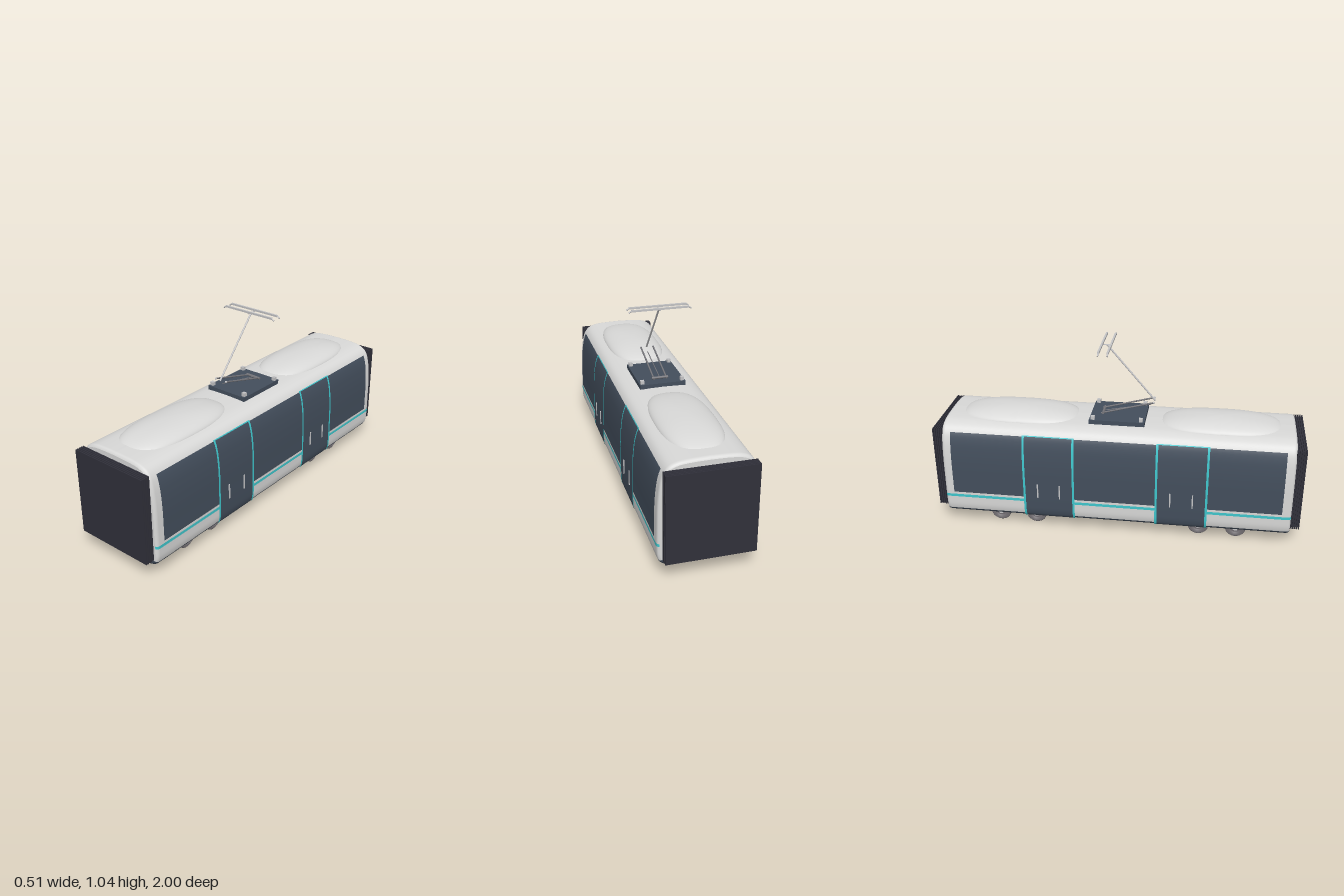
import * as THREE from 'three';

const mat = (name, color) => Object.assign(new THREE.MeshStandardMaterial({ color }), { name });

// Half cross-section of the car body, from bottom centre round the side to roof centre
const profile = new THREE.CatmullRomCurve3([
  [0, 0.063], [0.1, 0.064], [0.17, 0.066], [0.21, 0.074], [0.237, 0.092], [0.247, 0.12],
  [0.25, 0.17], [0.25, 0.28], [0.249, 0.37], [0.244, 0.45], [0.234, 0.52], [0.219, 0.565],
  [0.195, 0.594], [0.155, 0.611], [0.1, 0.618], [0, 0.621],
].map(([x, y]) => new THREE.Vector3(x, y, 0)), false, 'centripetal').getPoints(90);

// Part of the profile between two heights, with outward normals
function section(y0, y1) {
  const pts = [];
  profile.forEach((p, i) => {
    const q = profile[i - 1];
    for (const y of [y0, y1])
      if (q && q.y < y && p.y > y) pts.push(q.clone().lerp(p, (y - q.y) / (p.y - q.y)));
    if (p.y >= y0 && p.y <= y1) pts.push(p);
  });
  return pts.map((p, i) => {
    const a = pts[Math.max(i - 1, 0)], b = pts[Math.min(i + 1, pts.length - 1)];
    const n = new THREE.Vector2(b.y - a.y, a.x - b.x).normalize();
    return { p, n };
  });
}

// Skin along z over part of the profile; rings are [z, outward offset]
function skin(y0, y1, rings, side) {
  const sec = section(y0, y1), pos = [], idx = [], m = rings.length;
  for (const { p, n } of sec)
    for (const [z, off] of rings) pos.push(side * (p.x + n.x * off), p.y + n.y * off, z);
  for (let i = 0; i < sec.length - 1; i++)
    for (let j = 0; j < m - 1; j++) {
      const a = i * m + j, b = a + m, c = b + 1, d = a + 1;
      if (side > 0) idx.push(a, b, c, a, c, d);
      else idx.push(a, c, b, a, d, c);
    }
  const g = new THREE.BufferGeometry();
  g.setAttribute('position', new THREE.Float32BufferAttribute(pos, 3));
  g.setIndex(idx);
  g.computeVertexNormals();
  return g;
}

// Rings for a full-length skin with softly rounded ends
const fullRings = (off) => [
  [-0.95, off - 0.014], [-0.946, off - 0.006], [-0.94, off - 0.002], [-0.93, off],
  [0.93, off], [0.94, off - 0.002], [0.946, off - 0.006], [0.95, off - 0.014],
];

export function createModel() {
  const group = new THREE.Group();
  const white = mat('whitePaint', 0xd9d9d8);
  const dark = mat('darkGlass', 0x434e5c);
  const teal = mat('tealTrim', 0x3fc6cc);
  const rubber = mat('bellowsRubber', 0x30303a);
  const steel = mat('wheelSteel', 0x706c70);
  const metal = mat('lightMetal', 0xc4c4c6);
  const armGrey = mat('armGrey', 0x75757a);

  const add = (name, geo, material, x = 0, y = 0, z = 0, parent = group) => {
    const mesh = new THREE.Mesh(geo, material);
    mesh.name = name;
    mesh.position.set(x, y, z);
    parent.add(mesh);
    return mesh;
  };
  const box = (name, w, h, d, material, x, y, z) => add(name, new THREE.BoxGeometry(w, h, d), material, x, y, z);
  const rod = (name, a, b, r, material) => {
    const from = new THREE.Vector3(...a), dir = new THREE.Vector3(...b).sub(from);
    const mesh = add(name, new THREE.CylinderGeometry(r, r, dir.length(), 10), material);
    mesh.position.copy(from).addScaledVector(dir, 0.5);
    mesh.quaternion.setFromUnitVectors(new THREE.Vector3(0, 1, 0), dir.normalize());
  };

  // Body shell and dark underside, with end walls
  for (const [name, y0, y1, material] of [['skirt', 0, 0.1, dark], ['bodyShell', 0.1, 1, white]]) {
    for (const side of [1, -1]) add(name, skin(y0, y1, fullRings(0), side), material);
    const half = section(y0, y1).map(({ p, n }) => new THREE.Vector2(p.x - n.x * 0.014, p.y - n.y * 0.014));
    const outline = [...half, ...half.slice().reverse().map((p) => new THREE.Vector2(-p.x, p.y))];
    for (const end of [1, -1]) {
      const wall = add(name + 'End', new THREE.ShapeGeometry(new THREE.Shape(outline)), material, 0, 0, end * 0.95);
      if (end < 0) wall.rotation.y = Math.PI;
    }
  }

  // Side windows, stripe, doors, door trim and handles
  for (const side of [1, -1]) {
    const panel = (name, y0, y1, z0, z1, off, material) =>
      add(name, skin(y0, y1, [[z0, off], [z1, off]], side), material);
    panel('windowBand', 0.21, 0.565, -0.9, 0.9, 0.0015, dark);
    add('stripe', skin(0.18, 0.196, fullRings(0.0015), side), teal);
    for (const end of [1, -1]) {
      panel('door', 0.075, 0.566, end * 0.362 - 0.135, end * 0.362 + 0.135, 0.003, dark);
      panel('doorTopTrim', 0.565, 0.57, end * 0.362 - 0.141, end * 0.362 + 0.141, 0.004, teal);
      for (const z of [0.226, 0.497])
        panel('doorSideTrim', 0.072, 0.57, end * z - 0.006, end * z + 0.006, 0.0045, teal);
      for (const z of [0.302, 0.423])
        box('doorHandle', 0.006, 0.083, 0.007, metal, side * 0.2545, 0.252, end * z);
    }
  }

  // Folded bellows at both ends
  for (const end of [1, -1]) {
    box('bellowsCore', 0.434, 0.454, 0.05, rubber, 0, 0.345, end * 0.973);
    for (let i = 0; i < 5; i++)
      box('bellowsFold', 0.45, 0.47, 0.006, rubber, 0, 0.345, end * (0.953 + i * 0.011));
  }

  // Roof domes with a squarish oval plan
  for (const end of [1, -1]) {
    const dome = new THREE.SphereGeometry(1, 40, 14, 0, Math.PI * 2, 0, Math.PI / 2);
    const p = dome.attributes.position;
    for (let i = 0; i < p.count; i++) {
      const x = p.getX(i), z = p.getZ(i), r = Math.hypot(x, z);
      // The pole stays on the axis
      const k = r > 1e-6 ? (Math.abs(x / r) ** 2.7 + Math.abs(z / r) ** 2.7) ** (-1 / 2.7) : 1;
      p.setXYZ(i, x * k * 0.156, p.getY(i) * 0.055, z * k * 0.33);
    }
    dome.computeVertexNormals();
    add('roofDome', dome, white, 0, 0.605, end * 0.55);
  }

  // Wheels: rounded tread, recessed disc and pale hub
  const tread = new THREE.LatheGeometry([
    [0.032, -0.014], [0.053, -0.014], [0.057, -0.011], [0.057, 0.011], [0.053, 0.014], [0.032, 0.014], [0.032, -0.014],
  ].map(([r, y]) => new THREE.Vector2(r, y)), 32);
  for (const x of [-0.158, 0.158])
    for (const z of [-0.663, -0.457, 0.457, 0.663]) {
      const wheel = new THREE.Group();
      wheel.name = 'wheel';
      wheel.position.set(x, 0.057, z);
      wheel.rotation.z = -Math.sign(x) * Math.PI / 2;
      add('wheelTread', tread, steel, 0, 0, 0, wheel);
      add('wheelDisc', new THREE.CylinderGeometry(0.034, 0.034, 0.014, 24), steel, 0, 0, 0, wheel);
      add('wheelHub', new THREE.CylinderGeometry(0.016, 0.02, 0.024, 16), metal, 0, 0.008, 0, wheel);
      group.add(wheel);
    }

  // Current collector: base plate, insulators and folding arms
  box('collectorBase', 0.25, 0.024, 0.3, dark, 0, 0.629, -0.005);
  for (const x of [-0.11, 0.11])
    for (const z of [-0.135, 0.125])
      box('insulator', 0.02, 0.02, 0.02, metal, x, 0.65, z);
  rod('armAxle', [-0.045, 0.648, -0.09], [0.045, 0.648, -0.09], 0.007, armGrey);
  for (const x of [-0.035, 0.035]) {
    rod('lowerArm', [x, 0.645, -0.1], [x, 0.722, 0.185], 0.0045, armGrey);
    add('armTip', new THREE.SphereGeometry(0.006, 12, 8), metal, x, 0.722, 0.185);
  }
  rod('controlRod', [0, 0.645, -0.09], [0, 0.697, 0.17], 0.0025, armGrey);
  rod('upperArm', [0, 0.72, 0.192], [0, 1.028, -0.07], 0.005, metal);
  rod('headCrossbar', [0, 1.028, -0.098], [0, 1.028, -0.042], 0.003, metal);

  // Contact strips with drooping ends
  for (const z of [-0.095, -0.046]) {
    box('contactStrip', 0.31, 0.01, 0.01, metal, 0, 1.036, z);
    for (const side of [1, -1])
      rod('contactHorn', [side * 0.153, 1.037, z], [side * 0.169, 1.026, z], 0.004, metal);
  }
  return group;
}
